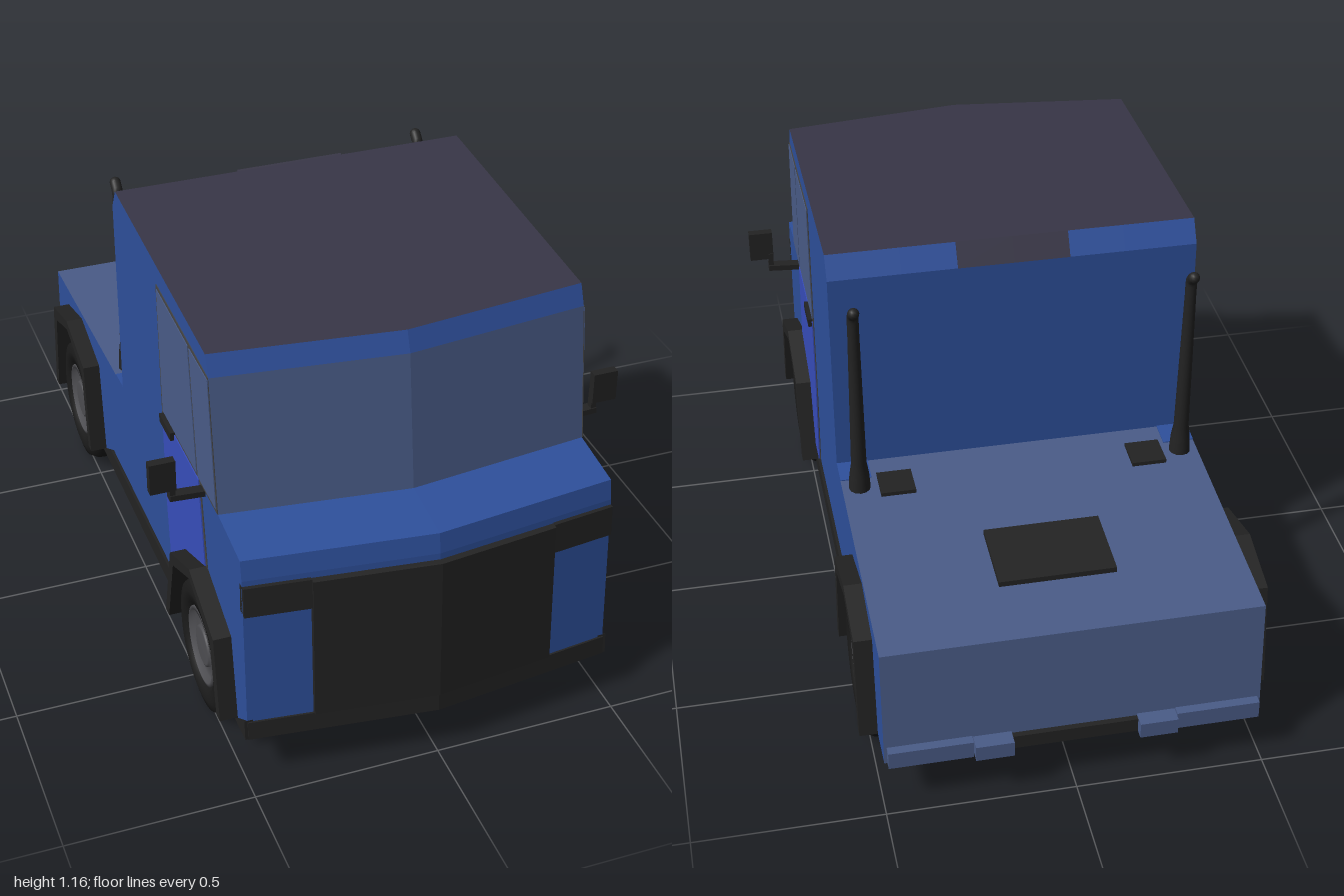
import * as THREE from 'three';

const mat = (name, color) => Object.assign(new THREE.MeshStandardMaterial({ color }), { name });
const blue = mat('body blue', 0x2e509c);
const doorBlue = mat('door blue', 0x384ebc);
const slate = mat('slate blue', 0x4a5c88);
const roofGrey = mat('roof grey', 0x383647);
const black = mat('trim black', 0x232323);
const rubber = mat('tyre black', 0x1b1b1b);
const steel = mat('wheel grey', 0x4e4e52);
const frameGrey = mat('frame grey', 0x454545);

const HALF = 0.495; // half width of the cab

// Prism from a side profile of [z, y, bend] points, spanning x0..x1 and mirrored to -x.
// Points with bend = 1 sweep backwards with |x|, giving the V-shaped nose.
function prism(name, profile, x0, x1, capMat, edgeMats = []) {
  let pts = profile.map(([z, y, b = 0]) => ({ v: new THREE.Vector2(z, y), b }));
  if (THREE.ShapeUtils.area(pts.map(p => p.v)) < 0) pts.reverse();
  const mats = [...new Set([capMat, ...edgeMats])];
  const buckets = mats.map(() => []);
  const at = (p, x) => [x, p.v.y, p.v.x - p.b * 0.12 * x];
  const tri = (m, a, b, c) => {
    const out = buckets[mats.indexOf(m)];
    out.push(...a, ...b, ...c);
    for (const q of [a, c, b]) out.push(-q[0], q[1], q[2]);
  };
  pts.forEach((p, i) => {
    const n = pts[(i + 1) % pts.length], m = edgeMats[i] || capMat;
    tri(m, at(p, x0), at(p, x1), at(n, x1));
    tri(m, at(p, x0), at(n, x1), at(n, x0));
  });
  for (const [i, j, k] of THREE.ShapeUtils.triangulateShape(pts.map(p => p.v), [])) {
    tri(capMat, at(pts[i], x1), at(pts[k], x1), at(pts[j], x1));
    if (x0 > 0) tri(capMat, at(pts[i], x0), at(pts[j], x0), at(pts[k], x0));
  }
  const geo = new THREE.BufferGeometry();
  geo.setAttribute('position', new THREE.Float32BufferAttribute(buckets.flat(), 3));
  let start = 0;
  buckets.forEach((b, i) => {
    geo.addGroup(start, b.length / 3, i);
    start += b.length / 3;
  });
  geo.computeVertexNormals();
  const mesh = new THREE.Mesh(geo, mats.length > 1 ? mats : capMat);
  mesh.name = name;
  return mesh;
}

function box(name, m, w, h, d, x, y, z) {
  const mesh = new THREE.Mesh(new THREE.BoxGeometry(w, h, d), m);
  mesh.position.set(x, y, z);
  mesh.name = name;
  return mesh;
}

function lathe(name, m, points, segments = 40) {
  const geo = new THREE.LatheGeometry(points.map(p => new THREE.Vector2(...p)), segments);
  const mesh = new THREE.Mesh(geo, m);
  mesh.name = name;
  return mesh;
}

// Wheel facing outwards on the given side
function wheel(side, z) {
  const g = new THREE.Group();
  g.name = 'wheel';
  g.add(lathe('tyre', rubber, [[0, -0.085], [0.15, -0.09], [0.176, -0.083], [0.188, -0.06], [0.19, -0.03],
    [0.19, 0.03], [0.188, 0.06], [0.176, 0.083], [0.15, 0.09], [0.12, 0.086], [0.11, 0.06]]));
  g.add(lathe('rim', steel, [[0.112, 0.06], [0.11, 0.082], [0.1, 0.084], [0.094, 0.068], [0.06, 0.066],
    [0.056, 0.078], [0.05, 0.08], [0, 0.08]]));
  g.position.set(side * 0.435, 0.19, z);
  g.rotation.z = -side * Math.PI / 2;
  return g;
}

export function createModel() {
  const model = new THREE.Group();
  model.name = 'towTractor';

  // Body: full profile inside, profile with wheel notches outside
  const top = [[0.99, 0.14, 1], [0.965, 0.62, 1], [0.955, 0.675, 1], [0.785, 0.695, 1], [0.737, 1.065, 1],
    [0.715, 1.12, 1], [-0.14, 1.16], [-0.175, 1.1], [-0.175, 0.515], [-0.94, 0.48], [-0.96, 0.14]];
  const topMats = [blue, blue, blue, slate, blue, roofGrey, blue, blue, slate, slate, slate];
  const rearArch = [[-0.82, 0.14], [-0.785, 0.4], [-0.645, 0.445], [-0.485, 0.39], [-0.455, 0.14]];
  const frontArch = [[0.4, 0.14], [0.46, 0.355], [0.615, 0.425], [0.78, 0.35], [0.82, 0.14]];
  model.add(prism('bodyCore', top, 0, 0.3, slate, topMats));
  model.add(prism('bodySides', [...top, ...rearArch, ...frontArch], 0.3, HALF, blue,
    [...topMats, ...Array(10).fill(slate)]));

  // Roof patch on the rear bevel, and painted deck corners
  model.add(prism('rearRoofPatch', [[-0.14, 1.16], [-0.144, 1.163], [-0.179, 1.102], [-0.175, 1.1]], 0, 0.15, roofGrey));
  model.add(prism('deckCorner', [[-0.175, 0.514], [-0.175, 0.518], [-0.25, 0.5145], [-0.25, 0.51]], 0.41, HALF, blue));

  // Wheel arch flares
  const flares = [
    ['rearFlare', rearArch, [[-0.85, 0.14], [-0.815, 0.43], [-0.645, 0.475], [-0.455, 0.42], [-0.425, 0.14]]],
    ['frontFlare', frontArch, [[0.37, 0.14], [0.435, 0.38], [0.615, 0.455], [0.81, 0.375], [0.85, 0.14]]],
  ];
  for (const [name, inner, outer] of flares)
    model.add(prism(name, [...inner, ...outer.slice().reverse()], 0.47, 0.543, black));

  // Sills and bumper ends
  model.add(prism('sill', [[0.37, 0.138], [0.295, 0.195], [-0.33, 0.195], [-0.43, 0.138]], 0.47, 0.503, black));
  model.add(prism('frontBumperEnd', [[0.935, 0.138], [0.93, 0.195], [0.85, 0.138]], 0.48, 0.503, black));
  model.add(prism('frontBumper', [[0.97, 0.138, 1], [0.997, 0.138, 1], [0.993, 0.19, 1], [0.97, 0.19, 1]], 0, HALF, black));

  // Grille panel and the band above it
  model.add(prism('grille', [[0.96, 0.19, 1], [1.0, 0.19, 1], [0.982, 0.6, 1], [0.95, 0.605, 1]], 0, 0.325, black));
  model.add(prism('grilleBand', [[0.95, 0.52, 1], [0.982, 0.52, 1], [0.977, 0.605, 1], [0.95, 0.605, 1]], 0.325, HALF, black));

  // Door, side windows and their thin frames
  model.add(prism('windowFrame', [[0.727, 0.697], [0.25, 0.697], [0.24, 1.085], [0.677, 1.066]], HALF, 0.497, frameGrey));
  model.add(prism('quarterWindow', [[0.719, 0.708], [0.573, 0.708], [0.528, 1.062], [0.678, 1.06]], 0.496, 0.499, slate));
  model.add(prism('doorWindow', [[0.56, 0.712], [0.264, 0.712], [0.25, 1.075], [0.517, 1.063]], 0.496, 0.499, slate));
  model.add(prism('doorFrame', [[0.585, 0.705], [0.625, 0.45], [0.44, 0.37], [0.38, 0.19], [0.285, 0.19], [0.257, 0.45],
    [0.252, 0.705]], HALF, 0.497, frameGrey));
  model.add(prism('door', [[0.577, 0.702], [0.613, 0.45], [0.44, 0.37], [0.38, 0.19], [0.295, 0.19], [0.266, 0.45],
    [0.262, 0.702]], 0.496, 0.5, doorBlue));

  // Deck hatch
  model.add(prism('deckHatch', [[-0.535, 0.49], [-0.535, 0.512], [-0.745, 0.504], [-0.745, 0.48]], 0, 0.155, black));
  model.add(box('rearStep', black, 0.34, 0.04, 0.04, 0, 0.162, -0.953));

  // Paired parts
  for (const s of [1, -1]) {
    model.add(wheel(s, 0.61), wheel(s, -0.64));

    // Rear bumper halves with tabs
    model.add(box('rearBumper', slate, 0.22, 0.05, 0.04, s * 0.377, 0.165, -0.962));
    model.add(box('rearBumperTab', slate, 0.1, 0.045, 0.06, s * 0.215, 0.165, -0.97));

    model.add(box('doorHandle', black, 0.014, 0.024, 0.1, s * 0.503, 0.697, 0.317));
    model.add(box('deckVent', black, 0.095, 0.014, 0.095, s * 0.348, 0.512, -0.288));

    // Mirror
    const arm = box('mirrorArm', black, 0.1, 0.016, 0.03, s * 0.537, 0.692, 0.61);
    arm.rotation.z = s * 0.06;
    model.add(arm);
    model.add(box('mirrorPost', black, 0.014, 0.05, 0.02, s * 0.579, 0.715, 0.612));
    model.add(box('mirror', black, 0.068, 0.088, 0.024, s * 0.605, 0.766, 0.617));

    // Exhaust stack: flared foot, tapering pipe, bent tip
    const stack = new THREE.Group();
    stack.name = 'exhaustStack';
    const pipe = lathe('exhaustPipe', black, [[0.03, 0], [0.027, 0.05], [0.021, 0.09], [0.015, 0.55]], 12);
    pipe.rotation.x = -0.035;
    const tipPath = new THREE.CatmullRomCurve3([new THREE.Vector3(0, 0.53, -0.018),
      new THREE.Vector3(0, 0.565, -0.022), new THREE.Vector3(0, 0.585, -0.042)]);
    const tip = new THREE.Mesh(new THREE.TubeGeometry(tipPath, 6, 0.0155, 12), black);
    tip.name = 'exhaustTip';
    const end = new THREE.Mesh(new THREE.SphereGeometry(0.0155, 12, 8), black);
    end.name = 'exhaustEnd';
    end.position.set(0, 0.584, -0.041);
    stack.add(pipe, tip, end);
    stack.position.set(s * 0.447, 0.505, -0.283);
    model.add(stack);
  }
  return model;
}
